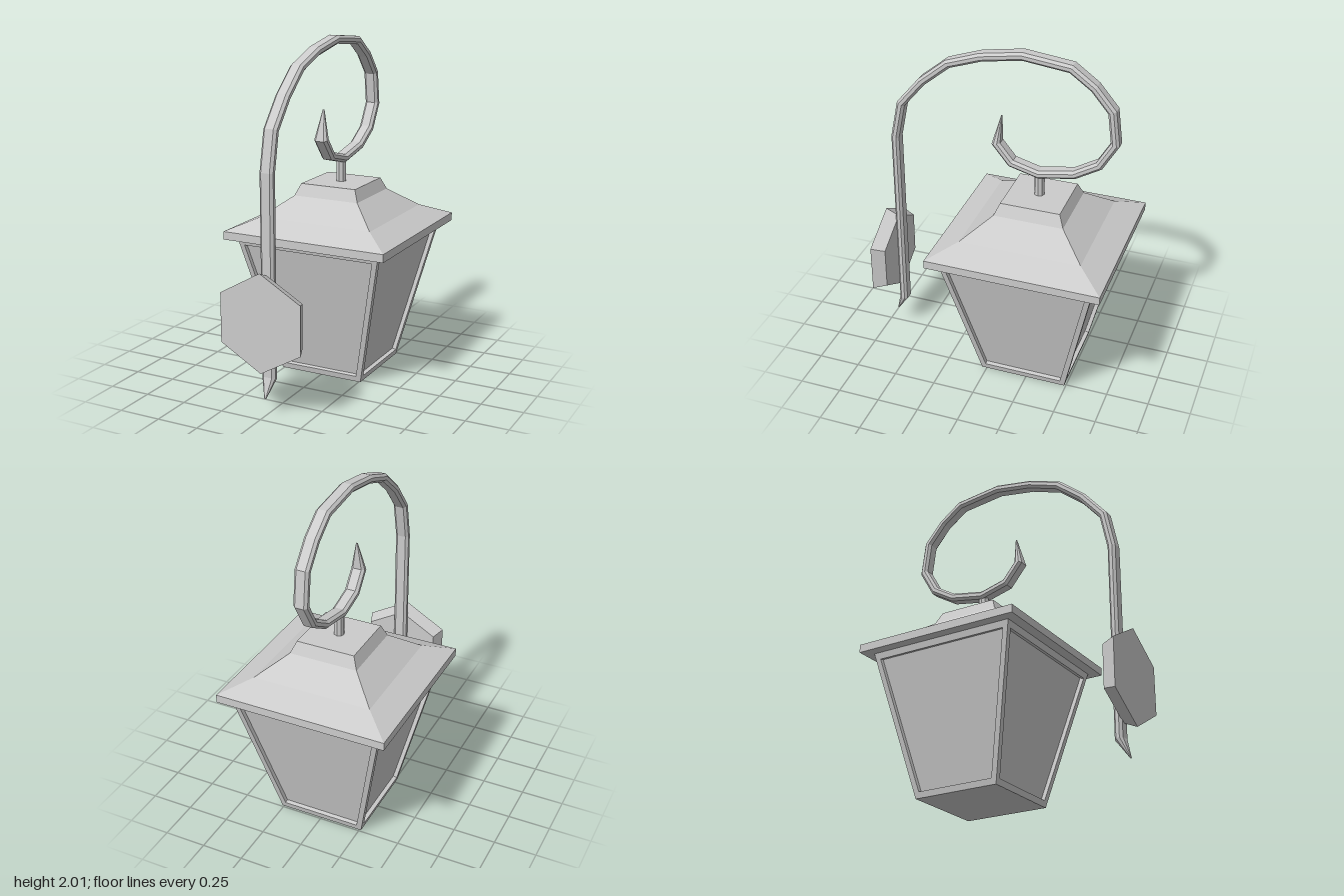
import * as THREE from 'three';

const grey = new THREE.MeshStandardMaterial({ color: 0xcccccc, flatShading: true, side: THREE.DoubleSide });

function part(name, geometry, parent) {
  const mesh = new THREE.Mesh(geometry, grey);
  mesh.name = name;
  parent.add(mesh);
  return mesh;
}

// Square solid from a [half width, height] profile, bottom to top
function squareLoft(profile) {
  const points = profile.map(([half, y]) => new THREE.Vector2(half * Math.SQRT2, y));
  return new THREE.LatheGeometry(points, 4, Math.PI / 4);
}

const trapezoid = (Type, bottom, y0, top, y1) => new Type([
  [-bottom, y0], [bottom, y0], [top, y1], [-top, y1],
].map(([x, y]) => new THREE.Vector2(x, y)));

// Chamfered flat bar swept along a [z, y] path with mitred bends and pointed ends
function barGeometry(path) {
  const section = [[0.041, -0.01], [0.041, 0.01], [0.026, 0.024], [-0.026, 0.024],
    [-0.041, 0.01], [-0.041, -0.01], [-0.026, -0.024], [0.026, -0.024]];
  const n = section.length, last = path.length - 1;
  const pts = path.map(([z, y]) => new THREE.Vector2(z, y));
  const positions = [], index = [];
  pts.forEach((p, i) => {
    const before = pts[Math.max(i - 1, 0)], after = pts[Math.min(i + 1, last)];
    const dirIn = (i ? p.clone().sub(before) : after.clone().sub(p)).normalize();
    const dirOut = (i < last ? after.clone().sub(p) : dirIn.clone()).normalize();
    const t = dirIn.clone().add(dirOut).normalize();
    const mitre = 1 / t.dot(dirIn);
    const taper = i === 0 || i === last ? 0.12 : 1;
    for (const [u, v] of section) {
      const w = v * taper * mitre;
      positions.push(u * taper, p.y + t.x * w, p.x - t.y * w);
    }
  });
  for (let i = 0; i < last; i++) {
    for (let j = 0; j < n; j++) {
      const a = i * n + j, b = i * n + (j + 1) % n;
      index.push(a, b, a + n, b, b + n, a + n);
    }
  }
  for (let j = 1; j < n - 1; j++) {
    index.push(0, j + 1, j, last * n, last * n + j, last * n + j + 1);
  }
  const geometry = new THREE.BufferGeometry();
  geometry.setAttribute('position', new THREE.Float32BufferAttribute(positions, 3));
  geometry.setIndex(index);
  geometry.computeVertexNormals();
  return geometry;
}

export function createModel() {
  const model = new THREE.Group();
  model.name = 'wallLantern';

  // Hexagonal wall plate, widest against the wall
  const plate = part('wallPlate', new THREE.CylinderGeometry(0.285, 0.25, 0.08, 6), model);
  plate.rotation.x = Math.PI / 2;
  plate.position.set(0, 0.549, 0.7);

  // Scrolled arm
  part('scrollArm', barGeometry([
    [0.695, 0.1], [0.642, 0.21], [0.642, 1.36], [0.597, 1.58], [0.464, 1.74], [0.305, 1.873],
    [0.11, 1.943], [-0.125, 1.985], [-0.4, 1.955], [-0.53, 1.862], [-0.635, 1.738],
    [-0.66, 1.545], [-0.576, 1.4], [-0.438, 1.317], [-0.23, 1.277], [-0.066, 1.32],
    [0.024, 1.43], [-0.003, 1.6],
  ]), model);

  const lantern = new THREE.Group();
  lantern.name = 'lantern';
  lantern.position.z = -0.23;
  model.add(lantern);

  // Hanging post between scroll and roof
  part('hangerPost', new THREE.CylinderGeometry(0.03, 0.03, 0.15, 8), lantern).position.y = 1.2;

  // Flared roof with a flat top
  part('roof', squareLoft([[0, 0.838], [0.51, 0.838], [0.51, 0.886], [0.355, 0.955],
    [0.205, 1.07], [0.175, 1.14], [0, 1.14]]), lantern);

  // Base and recessed panes
  part('panes', squareLoft([[0, 0], [0.259, 0], [0.265, 0.03], [0.242, 0.03],
    [0.425, 0.838], [0, 0.838]]), lantern);

  // Four tilted frames around the panes
  const slant = Math.hypot(0.838, 0.19);
  const outline = trapezoid(THREE.Shape, 0.26, 0, 0.45, slant);
  outline.holes.push(trapezoid(THREE.Path, 0.235, 0.036, 0.41, 0.82));
  const frame = new THREE.ExtrudeGeometry(outline, { depth: 0.03, bevelEnabled: false });
  frame.translate(0, 0, -0.03);
  frame.rotateX(Math.atan2(0.19, 0.838));
  frame.translate(0, 0, 0.26);
  for (let i = 0; i < 4; i++) {
    part('sideFrame', frame, lantern).rotation.y = i * Math.PI / 2;
  }

  return model;
}
